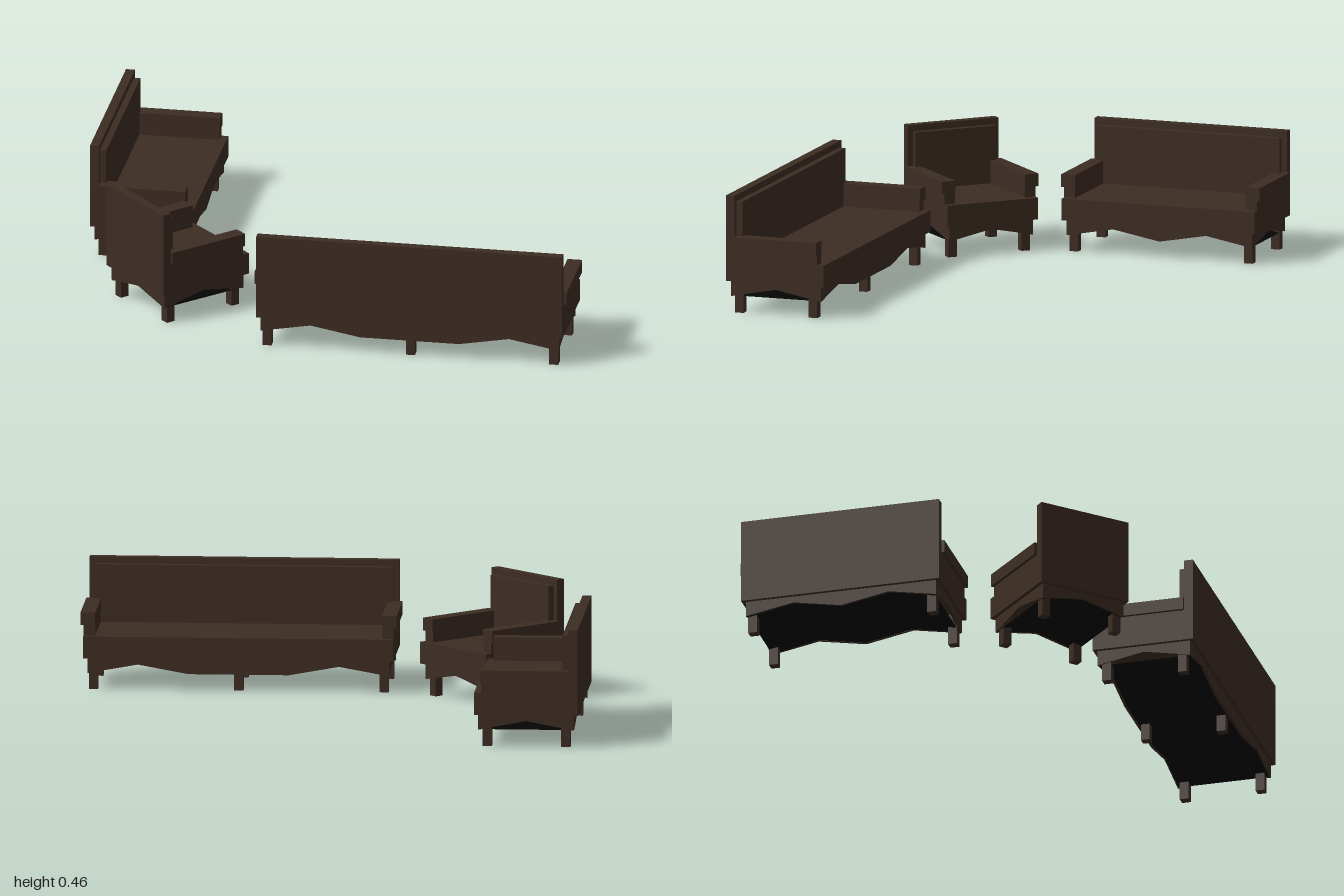
import * as THREE from 'three';

const wood = new THREE.MeshStandardMaterial({ color: 0x3d2d23 });
wood.name = 'dark brown';
const lining = new THREE.MeshStandardMaterial({ color: 0x050505, side: THREE.DoubleSide });
lining.name = 'black lining';

const SKIRT_LOW = 0.065, SKIRT_PEAK = 0.1, SKIRT_TOP = 0.126;

// Box given by its minimum and maximum corners
function box(parent, name, [x0, y0, z0], [x1, y1, z1]) {
  const mesh = new THREE.Mesh(new THREE.BoxGeometry(x1 - x0, y1 - y0, z1 - z0), wood);
  mesh.position.set((x0 + x1) / 2, (y0 + y1) / 2, (z0 + z1) / 2);
  mesh.name = name;
  parent.add(mesh);
}

// Lower edge of a skirt board: shallow pointed arches near both ends
function skirtEdge(length, arches) {
  const h = length / 2;
  if (arches === 1) return [[-h, SKIRT_LOW], [0, SKIRT_PEAK], [h, SKIRT_LOW]];
  const span = Math.min(0.39, h);
  const half = [[-h, SKIRT_LOW], [-h + span / 2, SKIRT_PEAK], [-h + span, SKIRT_LOW]];
  const mirrored = half.map(([x, y]) => [-x, y]).reverse();
  return span === h ? [...half, ...mirrored.slice(1)] : [...half, ...mirrored];
}

function skirtBoard(edge) {
  const h = edge[edge.length - 1][0];
  const points = [...edge, [h, SKIRT_TOP], [-h, SKIRT_TOP]].map(([x, y]) => new THREE.Vector2(x, y));
  const geometry = new THREE.ExtrudeGeometry(new THREE.Shape(points), { depth: 0.01, bevelEnabled: false });
  geometry.translate(0, 0, -0.01);
  const mesh = new THREE.Mesh(geometry, wood);
  mesh.name = 'skirtBoard';
  return mesh;
}

// A seat with its back along z = 0, facing +z
function createSeat(name, width, legColumns, arches) {
  const g = new THREE.Group();
  g.name = name;
  const h = width / 2, depth = 0.4;

  box(g, 'seatBase', [-h, 0.125, 0], [h, 0.21, depth]);
  box(g, 'backrest', [-h, 0.21, 0], [h, 0.46, 0.035]);
  box(g, 'backCushion', [-h + 0.022, 0.21, 0.035], [h - 0.022, 0.435, 0.06]);

  // Arms with an overhanging rest
  for (const s of [-1, 1]) {
    const inner = s * (h - 0.045), side = s * h, outer = s * (h + 0.012);
    const range = (a, b) => [Math.min(a, b), Math.max(a, b)];
    const [a0, a1] = range(inner, side);
    box(g, 'armSupport', [a0, 0.21, 0.035], [a1, 0.25, 0.373]);
    const [b0, b1] = range(inner, outer);
    box(g, 'armRest', [b0, 0.25, 0.035], [b1, 0.3, 0.375]);
  }

  // Skirt boards on all four sides
  const inset = 0.015, w = width - 2 * inset, d = depth - 2 * inset;
  const longEdge = skirtEdge(w, arches);
  const endEdge = skirtEdge(d, 1);
  const boards = [
    [longEdge, 0, depth - inset, 0],
    [longEdge, 0, inset, Math.PI],
    [endEdge, h - inset, depth / 2, Math.PI / 2],
    [endEdge, -h + inset, depth / 2, -Math.PI / 2],
  ];
  for (const [edge, x, z, turn] of boards) {
    const board = skirtBoard(edge);
    board.position.set(x, 0, z);
    board.rotation.y = turn;
    g.add(board);
  }

  // Lining follows the arched edge from front to back
  const sheet = new THREE.PlaneGeometry(w, d - 0.01, longEdge.length - 1, 1);
  sheet.rotateX(Math.PI / 2);
  const pos = sheet.attributes.position;
  for (let i = 0; i < pos.count; i++) {
    const [x, y] = longEdge[i % longEdge.length];
    pos.setX(i, x * 0.985);
    pos.setY(i, y + 0.001);
  }
  sheet.computeVertexNormals();
  const under = new THREE.Mesh(sheet, lining);
  under.name = 'undersideLining';
  under.position.z = depth / 2;
  g.add(under);

  // Square legs
  const reach = h - 0.0375;
  for (let i = 0; i < legColumns; i++) {
    const x = -reach + (2 * reach * i) / (legColumns - 1);
    for (const z of [0.0475, 0.35]) {
      box(g, 'leg', [x - 0.0175, 0, z - 0.0175], [x + 0.0175, 0.125, z + 0.0175]);
    }
  }
  return g;
}

export function createModel() {
  const model = new THREE.Group();
  model.name = 'seatingSet';
  const seats = [
    ['longSofa', 1.196, 3, 2, 0.39, 0.8, Math.PI],
    ['shortSofa', 0.79, 2, 2, -1, -0.39, Math.PI / 2],
    ['armchair', 0.385, 2, 1, -0.7325, 0.515, Math.PI * 0.75],
  ];
  for (const [name, width, legs, arches, x, z, turn] of seats) {
    const seat = createSeat(name, width, legs, arches);
    seat.position.set(x, 0, z);
    seat.rotation.y = turn;
    model.add(seat);
  }
  return model;
}
